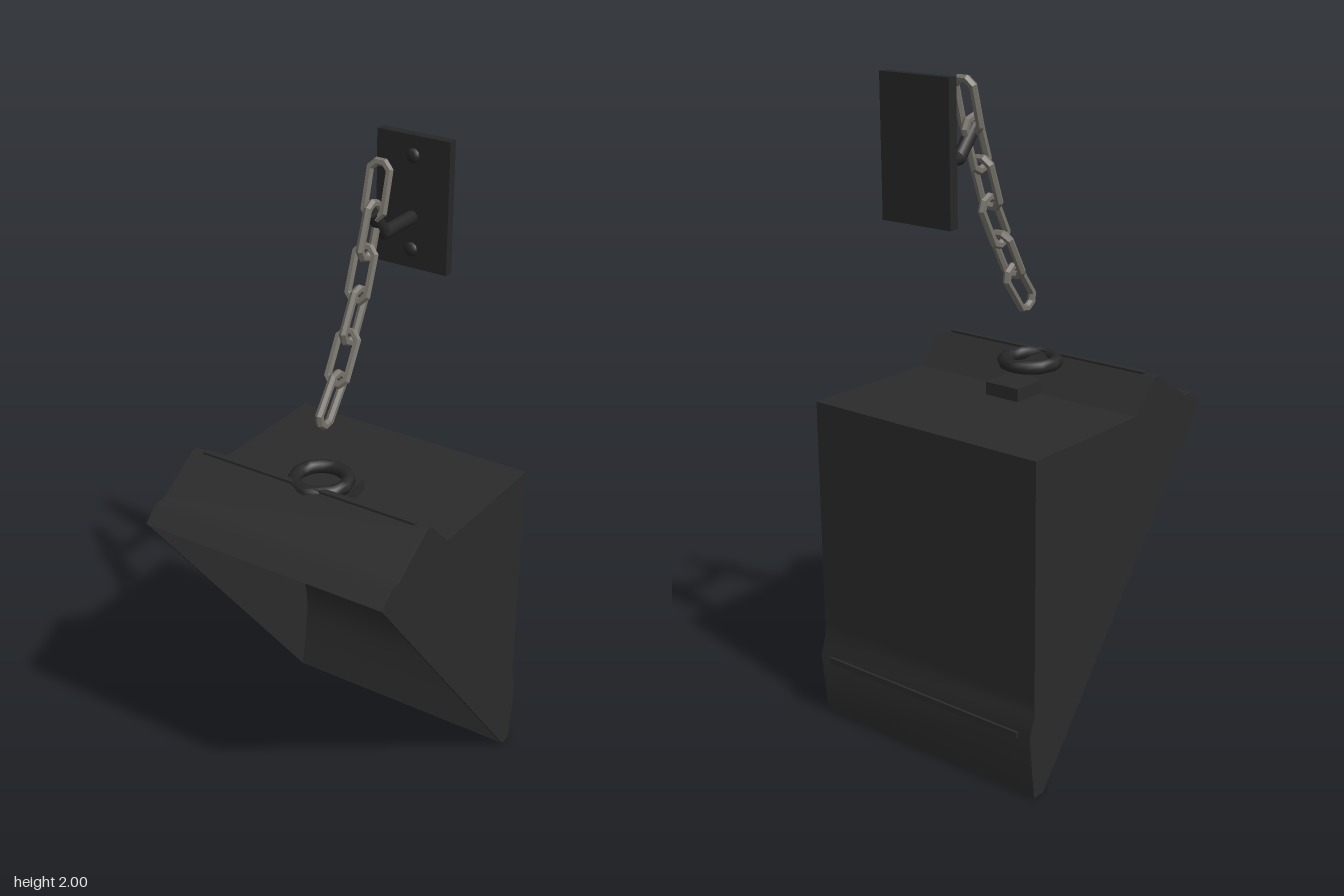
import * as THREE from 'three';
import { toCreasedNormals } from 'three/addons/utils/BufferGeometryUtils.js';

const V2 = (p) => new THREE.Vector2(p[0], p[1]);

export function createModel() {
  const model = new THREE.Group();
  const bodySteel = new THREE.MeshStandardMaterial({ color: 0x2b2b2b });
  const bracketSteel = new THREE.MeshStandardMaterial({ color: 0x272727 });
  const chainSteel = new THREE.MeshStandardMaterial({ color: 0x76726a });
  bodySteel.name = 'body steel';
  bracketSteel.name = 'bracket steel';
  chainSteel.name = 'chain steel';

  function add(name, geometry, material, x = 0, y = 0, z = 0, parent = model) {
    const mesh = new THREE.Mesh(geometry, material);
    mesh.name = name;
    mesh.position.set(x, y, z);
    parent.add(mesh);
    return mesh;
  }

  // Extrude a (z, y) profile across x, centred
  function acrossX(points, width) {
    const geo = new THREE.ExtrudeGeometry(new THREE.Shape(points), {
      depth: width, bevelEnabled: false,
    });
    geo.translate(0, 0, -width / 2);
    geo.rotateY(-Math.PI / 2);
    return toCreasedNormals(geo, 0.48);
  }

  // Bucket: outer profile from the lip, over the top and down the back
  const outer = [
    [0.42, 0.975], [0.372, 1.02], [0.335, 1.02], [0.19, 1.115], [0.17, 1.115],
    [0.075, 1.02], [-0.393, 1.02], [-0.393, 0.3], [-0.393, 0.265], [-0.414, 0.2],
    [-0.393, 0], [-0.35, 0],
  ].map(V2);
  // Curved inner plate, from the bottom edge up to the underside of the top
  const floor = new THREE.SplineCurve([
    [-0.35, 0], [-0.375, 0.13], [-0.383, 0.26], [-0.35, 0.4],
    [-0.265, 0.53], [-0.13, 0.69], [0.01, 0.84], [0.15, 0.99],
  ].map(V2));
  const width = 0.814, sheet = 0.006;
  const shell = [...outer, ...floor.getPoints(36).slice(1), V2([0.37, 0.99])];
  add('bucketShell', acrossX(shell, width - 2 * sheet), bodySteel);
  for (const s of [-1, 1]) {
    add('sidePlate', acrossX(outer, sheet), bodySteel, s * (width - sheet) / 2);
  }

  // Upright ribs across the inner plate
  for (const y of [0.365, 0.537, 0.695, 0.847]) {
    let lo = 0, hi = 1;
    for (let i = 0; i < 24; i++) {
      const mid = (lo + hi) / 2;
      if (floor.getPoint(mid).y < y) lo = mid; else hi = mid;
    }
    add('innerRib', new THREE.BoxGeometry(0.735, 0.022, 0.036), bodySteel, 0, y, floor.getPoint(lo).x);
  }

  // Weld bars on the top ridge and the back
  add('ridgeBar', new THREE.BoxGeometry(0.73, 0.018, 0.02), bodySteel, 0, 1.113, 0.181);
  add('backBar', new THREE.BoxGeometry(0.73, 0.018, 0.016), bodySteel, 0, 0.198, -0.412);

  // Lifting ring and its block
  add('ringBlock', new THREE.BoxGeometry(0.12, 0.05, 0.12), bodySteel, 0, 1.035, 0.03);
  const ring = new THREE.TorusGeometry(0.08, 0.021, 8, 12);
  ring.rotateX(Math.PI / 2);
  add('liftingRing', ring, bracketSteel, 0, 1.105, 0.108);

  // Wall bracket with bolts and a bent hook arm
  const bracket = new THREE.Group();
  bracket.name = 'wallBracket';
  model.add(bracket);
  add('wallPlate', new THREE.BoxGeometry(0.242, 0.4, 0.03), bracketSteel, 0, 1.8, -0.38, bracket);
  for (const y of [1.94, 1.657]) {
    const bolt = new THREE.SphereGeometry(0.023, 10, 5, 0, Math.PI * 2, 0, Math.PI / 2);
    bolt.scale(1, 0.6, 1);
    bolt.rotateX(Math.PI / 2);
    add('bolt', bolt, bracketSteel, 0, y, -0.366, bracket);
  }
  const armPath = [[-0.37, 1.757], [-0.215, 1.757], [-0.145, 1.84]]
    .map(([z, y]) => new THREE.Vector3(0, y, z));
  for (let i = 0; i < 2; i++) {
    const a = armPath[i], b = armPath[i + 1], d = b.clone().sub(a);
    const rod = add('hookArm', new THREE.CylinderGeometry(0.02, 0.02, d.length(), 10), bracketSteel, 0, 0, 0, bracket);
    rod.position.addVectors(a, b).multiplyScalar(0.5);
    rod.quaternion.setFromUnitVectors(new THREE.Vector3(0, 1, 0), d.normalize());
  }
  add('hookElbow', new THREE.SphereGeometry(0.02, 10, 8), bracketSteel, 0, 1.757, -0.215, bracket);

  // Chain link: an eight-sided torus stretched along y
  const link = new THREE.TorusGeometry(0.034, 0.0125, 6, 8);
  link.rotateZ(Math.PI / 8);
  const pos = link.attributes.position;
  for (let i = 0; i < pos.count; i++) {
    const segment = i % 9;
    pos.setY(i, pos.getY(i) + (segment < 4 || segment === 8 ? 0.045 : -0.045));
  }
  const linkGeo = toCreasedNormals(link, 0.3);

  // Hanging chain: centre z, centre y and lean of each link, alternating a quarter turn
  const chain = new THREE.Group();
  chain.name = 'chain';
  model.add(chain);
  [
    [-0.175, 1.896, 15], [-0.14, 1.787, 19], [-0.098, 1.673, 20],
    [-0.062, 1.558, 28], [-0.003, 1.45, 29], [0.055, 1.342, 37],
  ].forEach(([z, y, lean], i) => {
    const mesh = add('chainLink', linkGeo, chainSteel, 0, y, z, chain);
    mesh.rotation.set(-THREE.MathUtils.degToRad(lean), i % 2 ? Math.PI / 2 : 0, 0);
  });

  return model;
}
